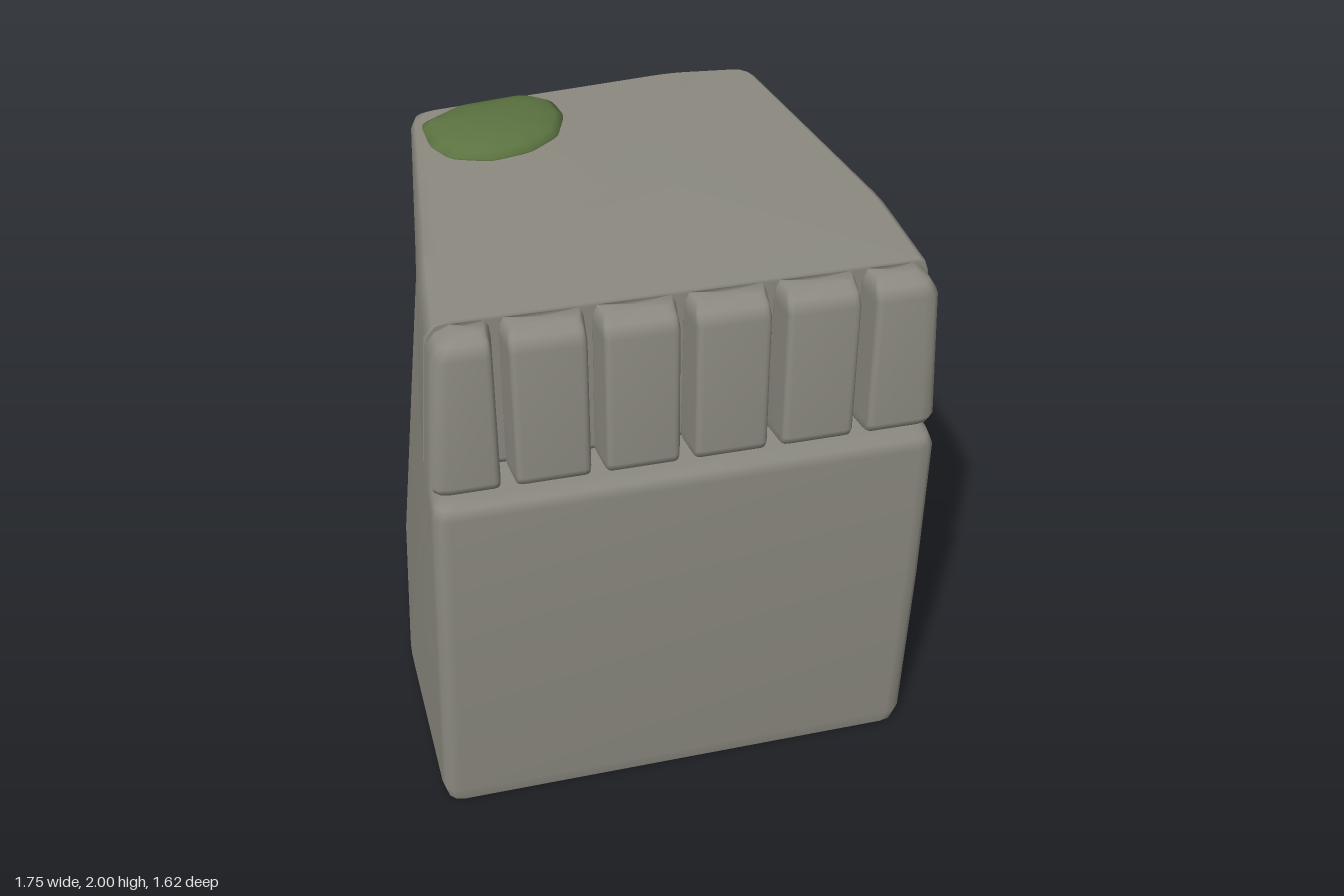
import * as THREE from 'three';

// Rounds each corner [x, z, radius] of a plan outline into a short curve and lifts it to height y.
function ring(corners, y, slope = 0) {
  const steps = 3, out = [], n = corners.length;
  corners.forEach(([x, z, r], i) => {
    const toward = ([px, pz]) => {
      const len = Math.hypot(px - x, pz - z);
      const k = Math.min(r, len * 0.45) / len;
      return [x + (px - x) * k, z + (pz - z) * k];
    };
    const a = toward(corners[(i + n - 1) % n]);
    const b = toward(corners[(i + 1) % n]);
    for (let s = 0; s <= steps; s++) {
      const t = s / steps, u = 1 - t;
      const px = u * u * a[0] + 2 * u * t * x + t * t * b[0];
      const pz = u * u * a[1] + 2 * u * t * z + t * t * b[1];
      out.push(new THREE.Vector3(px, y + slope * (0.64 - pz), pz));
    }
  });
  return out;
}

// Skins a stack of rings from bottom to top; outlines run left, back, right, front.
function loft(rings, closeBottom = true) {
  const n = rings[0].length, pos = [], index = [];
  rings.forEach(r => r.forEach(p => pos.push(p.x, p.y, p.z)));
  for (let l = 0; l < rings.length - 1; l++) {
    for (let i = 0; i < n; i++) {
      const j = (i + 1) % n;
      const a = l * n + i, b = l * n + j;
      index.push(a, a + n, b, b, a + n, b + n);
    }
  }
  const cap = (l, top) => {
    const c = new THREE.Vector3();
    rings[l].forEach(p => c.addScaledVector(p, 1 / n));
    const ci = pos.length / 3;
    pos.push(c.x, c.y, c.z);
    for (let i = 0; i < n; i++) {
      const a = l * n + i, b = l * n + (i + 1) % n;
      index.push(ci, top ? b : a, top ? a : b);
    }
  };
  cap(rings.length - 1, true);
  if (closeBottom) cap(0, false);
  const g = new THREE.BufferGeometry();
  g.setAttribute('position', new THREE.Float32BufferAttribute(pos, 3));
  g.setIndex(index);
  g.computeVertexNormals(); // area weighted: large faces stay flat, bevels stay soft
  return g;
}

const inset = (corners, d, keepFront = false) => corners.map(([x, z, r]) => [
  x - Math.sign(x) * d,
  keepFront && z > 0.6 ? z : z - Math.sign(z) * Math.min(d, Math.abs(z)),
  r,
]);
const mix = (A, B, t) => A.map((c, i) => c.map((v, k) => v + (B[i][k] - v) * t));

export function createModel() {
  const model = new THREE.Group();
  const stone = new THREE.MeshStandardMaterial({ color: 0x8b897f, side: THREE.DoubleSide });
  stone.name = 'stone';
  const green = new THREE.MeshStandardMaterial({ color: 0x5c7341 });
  green.name = 'moss';
  const add = (name, geometry, material, parent = model) => {
    const m = new THREE.Mesh(geometry, material);
    m.name = name;
    parent.add(m);
  };

  // Tapered pedestal, hollow and open below
  const foot = [
    [-0.855, 0.785, 0.06], [-0.88, 0.06, 0.06], [-0.8, -0.71, 0.06], [0.09, -0.81, 0.06],
    [0.79, -0.755, 0.06], [0.878, -0.04, 0.06], [0.835, 0.785, 0.06],
  ];
  const shoulder = [
    [-0.815, 0.805, 0.06], [-0.795, 0.5, 0.06], [-0.66, -0.695, 0.05], [0.25, -0.77, 0.06],
    [0.645, -0.74, 0.05], [0.81, 0.17, 0.06], [0.82, 0.805, 0.06],
  ];
  const waist = mix(foot, shoulder, 0.55).map(([x, z, r]) => [x, z > 0.7 ? 0.808 : z, r]);
  add('pedestal', loft([
    ring(inset(foot, 0.012), 0),
    ring(foot, 0.06),
    ring(waist, 0.75),
    ring(shoulder, 1.31),
    ring(inset(shoulder, 0.014), 1.345),
    ring(inset(shoulder, 0.045), 1.37),
  ], false), stone);

  // Capstone with a gently rising top and a wide chamfer on one side
  const capLow = [
    [-0.81, 0.64, 0.01], [-0.775, 0.3, 0.06], [-0.655, -0.69, 0.05], [0.25, -0.765, 0.06],
    [0.64, -0.73, 0.05], [0.803, 0.2, 0.06], [0.81, 0.64, 0.01],
  ];
  const capHigh = [
    [-0.775, 0.64, 0.01], [-0.745, 0.3, 0.06], [-0.635, -0.67, 0.05], [0.28, -0.75, 0.06],
    [0.625, -0.72, 0.05], [0.785, 0.25, 0.06], [0.79, 0.64, 0.01],
  ];
  const capRim = [
    [-0.7, 0.64, 0.01], [-0.675, 0.3, 0.06], [-0.6, -0.63, 0.05], [0.32, -0.72, 0.06],
    [0.595, -0.69, 0.05], [0.75, 0.28, 0.06], [0.755, 0.64, 0.01],
  ];
  add('capstone', loft([
    ring(inset(capLow, 0.045, true), 1.385),
    ring(inset(capLow, 0.014, true), 1.4),
    ring(capLow, 1.43),
    ring(capHigh, 1.885, 0.015),
    ring(mix(capHigh, capRim, 0.38), 1.92, 0.017),
    ring(capRim, 1.935, 0.018),
  ]), stone);

  // Row of six front blocks, narrowing forward so the joints open into grooves
  const blocks = new THREE.Group();
  blocks.name = 'frontBlocks';
  model.add(blocks);
  const joints = [-0.81, -0.568, -0.287, -0.007, 0.274, 0.554, 0.81];
  for (let i = 0; i < 6; i++) {
    const first = i === 0, last = i === 5;
    // Section at a height: front depth, end-block lean, and side inset
    const section = (front, lean, side) => {
      const l = joints[i] + (first ? lean : 0.011 + side);
      const r = joints[i + 1] - (last ? lean * 0.75 : 0.011 + side);
      return [
        [l + (first ? 0 : 0.015), front, first ? 0.055 : 0.02], [l, 0.652, 0.008],
        [r, 0.652, 0.008], [r - (last ? 0 : 0.015), front, last ? 0.055 : 0.02],
      ];
    };
    add('frontBlock', loft([
      ring(section(0.755, 0.035, 0.006), 1.385),
      ring(section(0.78, 0.01, 0), 1.4),
      ring(section(0.793, 0, 0), 1.43),
      ring(section(0.77, 0.035, 0), 1.875),
      ring(section(0.745, 0.065, 0.004), 1.912),
      ring(section(0.705, 0.11, 0.014), 1.932),
    ]), stone, blocks);
  }

  // Low irregular moss mound near the back corner
  const patch = [
    [-0.605, -0.38], [-0.615, -0.54], [-0.48, -0.635], [-0.22, -0.67], [-0.14, -0.61],
    [-0.12, -0.49], [-0.17, -0.35], [-0.28, -0.265], [-0.42, -0.235], [-0.55, -0.28],
  ];
  const mound = (s, y) => ring(
    patch.map(([x, z]) => [-0.36 + (x + 0.36) * s, -0.45 + (z + 0.45) * s, 0.03]), y);
  add('moss', loft([
    mound(0.98, 1.935), mound(1, 1.957), mound(0.88, 1.976), mound(0.62, 1.992), mound(0.3, 2),
  ]), green);

  return model;
}
